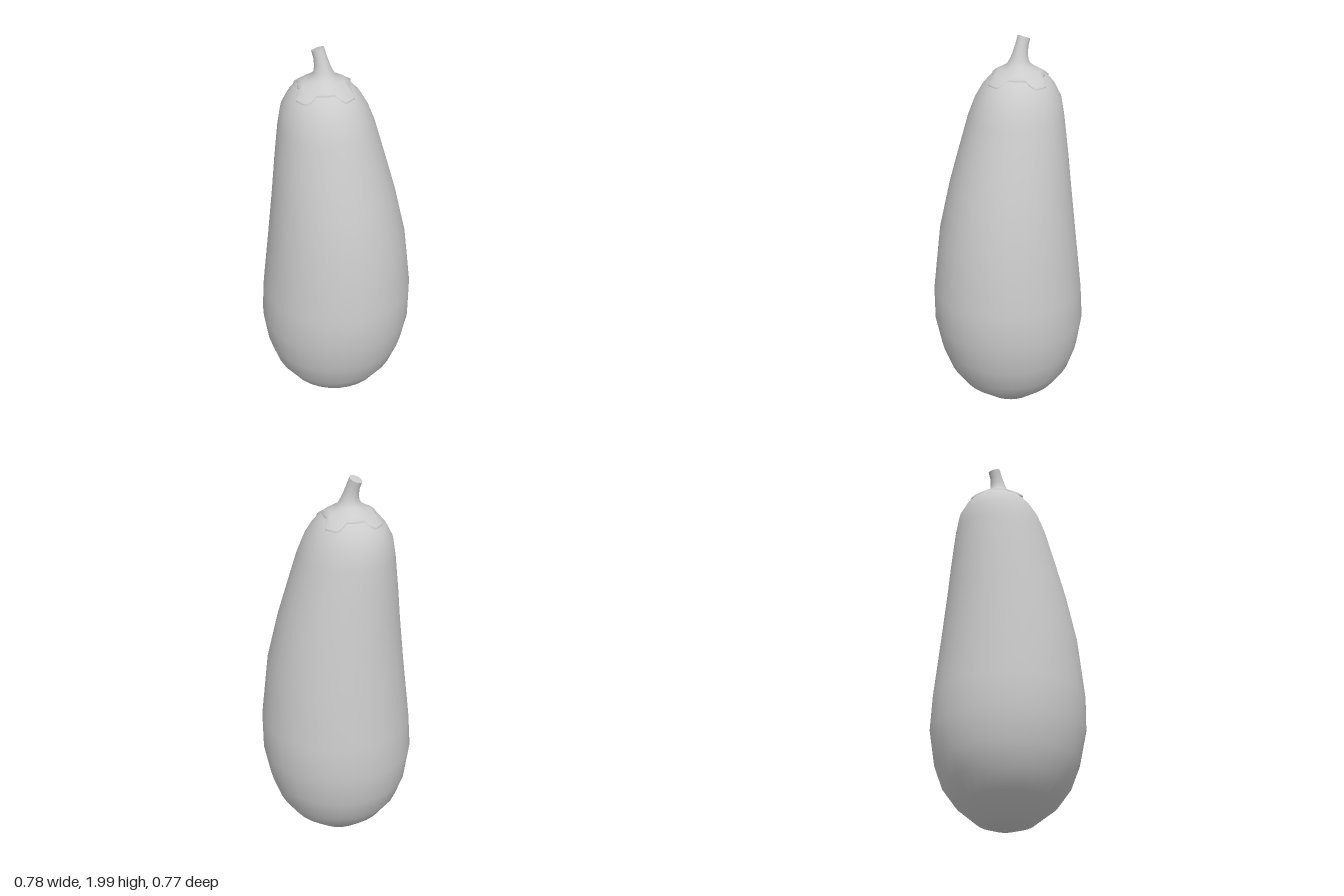
import * as THREE from 'three';

// Skin closed rings, listed from bottom to top, with smooth normals
function loft(rings, sides, point) {
  const pos = [], idx = [];
  rings.forEach((ring) => {
    for (let j = 0; j < sides; j++) pos.push(...point(ring, (j / sides) * Math.PI * 2));
  });
  for (let i = 0; i < rings.length - 1; i++) {
    for (let j = 0; j < sides; j++) {
      const k = (j + 1) % sides;
      const a = i * sides + j, b = i * sides + k, c = a + sides, d = b + sides;
      idx.push(a, c, b, b, c, d);
    }
  }
  const geo = new THREE.BufferGeometry();
  geo.setAttribute('position', new THREE.Float32BufferAttribute(pos, 3));
  geo.setIndex(idx);
  geo.computeVertexNormals();
  return geo;
}

export function createModel() {
  const group = new THREE.Group();
  const material = new THREE.MeshStandardMaterial({ color: 0xcccccc, side: THREE.DoubleSide });
  const add = (name, geo) => {
    const mesh = new THREE.Mesh(geo, material);
    mesh.name = name;
    group.add(mesh);
  };

  // Fruit: height, centre x, half width in x, half depth in z
  const body = [
    [0.005, -0.02, 0.002, 0.002], [0.012, -0.02, 0.06, 0.06],
    [0.04, -0.015, 0.14, 0.14], [0.13, -0.01, 0.25, 0.25],
    [0.22, -0.01, 0.315, 0.315], [0.34, -0.008, 0.36, 0.357],
    [0.5, -0.002, 0.388, 0.385], [0.68, 0.006, 0.384, 0.38],
    [1.0, 0.006, 0.349, 0.345], [1.25, -0.013, 0.308, 0.304],
    [1.42, -0.033, 0.277, 0.271], [1.6, -0.053, 0.243, 0.233],
    [1.69, -0.065, 0.219, 0.206], [1.755, -0.068, 0.183, 0.172],
    [1.8, -0.07, 0.142, 0.136], [1.82, -0.07, 0.105, 0.1],
    [1.833, -0.07, 0.05, 0.05], [1.836, -0.07, 0.002, 0.002],
  ];
  add('fruit', loft(body, 30, ([y, cx, rx, rz], t) =>
    [cx + rx * Math.cos(t), y, rz * Math.sin(t)]));

  // Leafy cap flowing into the stem: height, centre x, radius, lobe strength, tilt
  const cap = [
    [1.806, -0.07, 0.127, 1, 0], [1.817, -0.07, 0.126, 1, 0],
    [1.829, -0.07, 0.107, 0.5, 0], [1.84, -0.07, 0.085, 0.15, 0],
    [1.855, -0.071, 0.061, 0, 0], [1.88, -0.073, 0.046, 0, 0.1],
    [1.91, -0.079, 0.037, 0, 0.2], [1.95, -0.09, 0.031, 0, 0.35],
    [1.987, -0.104, 0.03, 0, 0.42],
  ];
  const capPoint = ([y, cx, r, lobe, tilt], t) => {
    // four blunt lobes that droop over the shoulder of the fruit
    const wave = THREE.MathUtils.smoothstep(Math.cos(4 * (t - 0.06)), -0.3, 0.7);
    const rad = r + 0.04 * lobe * wave;
    const dx = rad * Math.cos(t);
    return [cx + dx, y - 0.033 * lobe * wave + tilt * dx, rad * Math.sin(t)];
  };
  add('calyxAndStem', loft(cap, 48, capPoint));

  // Slanted cut at the end of the stem
  add('stemEnd', loft([[1.987, -0.104, 0.03, 0, 0.42], [1.988, -0.104, 0.0005, 0, 0.42]], 48, capPoint));
  return group;
}
